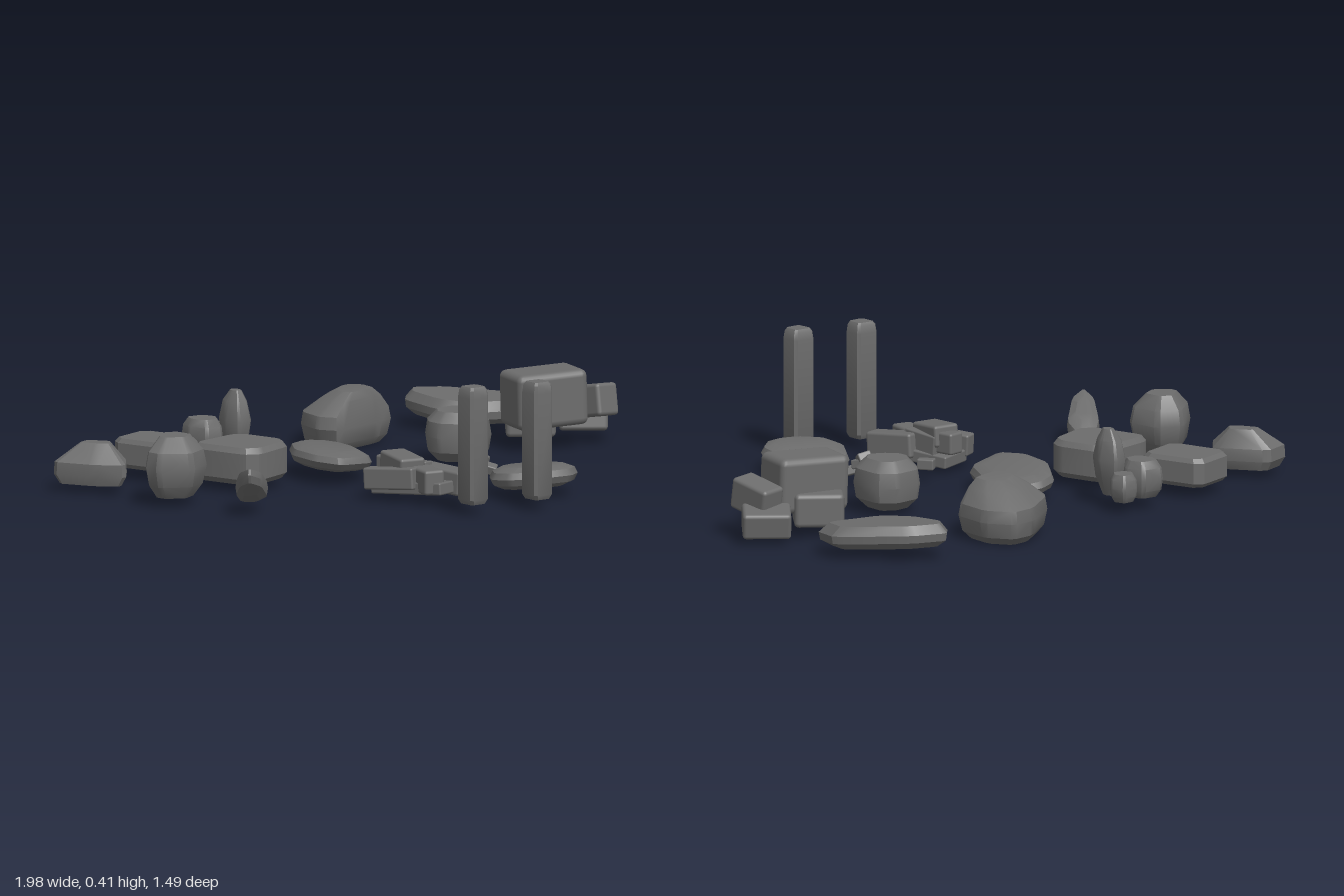
import * as THREE from 'three';
import { ConvexGeometry } from 'three/addons/geometries/ConvexGeometry.js';
import { RoundedBoxGeometry } from 'three/addons/geometries/RoundedBoxGeometry.js';
import { toCreasedNormals } from 'three/addons/utils/BufferGeometryUtils.js';

const stone = new THREE.MeshStandardMaterial({ color: 0x6c6c6c });

// Worn stone: a plan outline [x, z] stacked at levels [y, scale, dx, dz], then sloped along x and z
function rock(name, outline, levels, slopeX = 0, slopeZ = 0) {
  const n = outline.length;
  const cx = outline.reduce((s, p) => s + p[0], 0) / n;
  const cz = outline.reduce((s, p) => s + p[1], 0) / n;
  // cut every corner of the outline once so the edges are softened
  const soft = [];
  outline.forEach((p, i) => {
    const q = outline[(i + 1) % n];
    for (const t of [0.12, 0.88]) soft.push([p[0] + (q[0] - p[0]) * t, p[1] + (q[1] - p[1]) * t]);
  });
  const points = [];
  for (const [y, s, dx = 0, dz = 0] of levels) {
    for (const [px, pz] of soft) {
      const x = (px - cx) * s + dx, z = (pz - cz) * s + dz;
      points.push(new THREE.Vector3(x, y + x * slopeX + z * slopeZ, z));
    }
  }
  const mesh = new THREE.Mesh(toCreasedNormals(new ConvexGeometry(points), 0.5), stone);
  mesh.name = name;
  mesh.position.set(cx, 0, cz);
  return mesh;
}

// Rounded level stack between two heights
const worn = (y0, y1, end = 0.7) => {
  const h = y1 - y0;
  return [[y0, end], [y0 + h * 0.2, 0.93], [y0 + h * 0.5, 1], [y1 - h * 0.2, 0.93], [y1, end]];
};

// Flat-topped stack with a narrow bevel
const blocky = (y0, y1) => {
  const b = (y1 - y0) * 0.15;
  return [[y0, 0.88], [y0 + b, 1], [y1 - b, 1], [y1, 0.9]];
};

// Block with softened edges
function block(name, [x, y, z], [w, h, d], [rx, ry, rz] = [0, 0, 0]) {
  const r = Math.min(w, h, d) * 0.14;
  const mesh = new THREE.Mesh(new RoundedBoxGeometry(w, h, d, 2, r), stone);
  mesh.name = name;
  mesh.position.set(x, y, z);
  mesh.rotation.set(rx, ry, rz);
  return mesh;
}

function cluster(name, ...parts) {
  const g = new THREE.Group();
  g.name = name;
  g.add(...parts);
  return g;
}

export function createModel() {
  const model = new THREE.Group();
  model.name = 'rockCollection';

  // Boulders on the right side
  model.add(
    rock('wedgeBoulder', [[-1, -0.5], [-0.89, -0.54], [-0.78, -0.39], [-0.855, -0.3], [-0.93, -0.37]],
      [[0.03, 0.85], [0.06, 1], [0.1, 0.98], [0.16, 0.4, 0.02, -0.01]]),
    rock('facetedBoulder', [[-0.93, -0.11], [-0.82, -0.2], [-0.74, -0.165], [-0.725, -0.04], [-0.83, 0.015], [-0.925, -0.05]],
      [[0.03, 0.6], [0.07, 0.88], [0.13, 1], [0.18, 0.9], [0.225, 0.5, 0.01, -0.01]]),
    rock('shard', [[-0.76, 0.14], [-0.695, 0.085], [-0.655, 0.12], [-0.67, 0.2], [-0.76, 0.28], [-0.82, 0.29], [-0.815, 0.23]],
      worn(0.055, 0.13, 0.5), -0.3, 0.35),
    rock('squareSlab', [[-0.705, -0.567], [-0.535, -0.62], [-0.465, -0.405], [-0.64, -0.35]],
      blocky(0.04, 0.135)),
    rock('squareBoulder', [[-0.605, -0.27], [-0.58, -0.29], [-0.41, -0.325], [-0.37, -0.3], [-0.33, -0.16], [-0.35, -0.11], [-0.5, -0.055], [-0.55, -0.08]],
      blocky(0.03, 0.15)),
    rock('flatBoulder', [[-0.28, -0.06], [-0.26, -0.2], [-0.17, -0.33], [-0.1, -0.355], [-0.03, -0.34], [0, -0.27], [-0.01, -0.16], [-0.08, -0.01], [-0.24, 0.03]],
      worn(0.035, 0.1), -0.1),
  );

  // Boulders on the left side
  model.add(
    rock('roundBoulder', [[0.215, -0.11], [0.26, -0.175], [0.36, -0.185], [0.415, -0.14], [0.41, -0.02], [0.345, 0.04], [0.27, 0.01], [0.215, -0.05]],
      worn(0.02, 0.18, 0.62)),
    rock('ridgedBoulder', [[0.08, -0.5], [0.1, -0.62], [0.26, -0.735], [0.35, -0.745], [0.41, -0.66], [0.4, -0.52], [0.33, -0.49], [0.12, -0.44]],
      [[0.005, 0.75], [0.03, 0.92], [0.08, 1], [0.12, 0.95], [0.165, 0.65, 0, 0.03], [0.19, 0.4, 0, 0.05]]),
    rock('pointedSlab', [[0.585, -0.69], [0.63, -0.74], [0.735, -0.69], [0.9, -0.5], [0.865, -0.375], [0.65, -0.435], [0.59, -0.55]],
      [[0.04, 0.82], [0.06, 0.98], [0.085, 1], [0.115, 0.86]], 0, -0.06),
    rock('pebbleSlab', [[0.03, 0.46], [0.09, 0.37], [0.16, 0.35], [0.25, 0.39], [0.3, 0.49], [0.295, 0.57], [0.23, 0.62], [0.13, 0.6], [0.04, 0.53]],
      worn(0.03, 0.1), 0, 0.1),
  );

  // Three stones leaning together
  model.add(cluster('stoneTrio',
    rock('roundStone', [[-0.4, -0.56], [-0.38, -0.62], [-0.3, -0.615], [-0.275, -0.55], [-0.31, -0.49], [-0.375, -0.49]],
      worn(0.04, 0.16)),
    rock('smallStone', [[-0.295, -0.58], [-0.27, -0.62], [-0.215, -0.62], [-0.2, -0.57], [-0.23, -0.53], [-0.28, -0.54]],
      worn(0.04, 0.13)),
    rock('uprightStone', [[-0.32, -0.47], [-0.3, -0.53], [-0.25, -0.54], [-0.225, -0.48], [-0.25, -0.42], [-0.3, -0.42]],
      [[0.04, 0.4], [0.1, 0.85], [0.16, 1], [0.22, 0.75], [0.255, 0.35, 0, 0.005]]),
  ));

  // Pile of blocks around a large cuboid
  model.add(cluster('blockPile',
    block('largeBlock', [0.703, 0.17, -0.125], [0.245, 0.18, 0.165], [0, -0.23, 0.03]),
    block('rearBlock', [0.7, 0.095, -0.19], [0.16, 0.11, 0.14], [0, -0.65, 0]),
    block('leaningBlock', [0.885, 0.14, -0.105], [0.09, 0.105, 0.15], [-0.2, 0.1, -0.05]),
    block('fallenBlock', [0.9, 0.075, -0.17], [0.155, 0.085, 0.11], [-0.25, -0.65, -0.15]),
  ));

  // Heap of small bricks: position, size, turn about y
  const bricks = [
    [[-0.18, 0.05, 0.34], [0.13, 0.04, 0.27], 0.3],
    [[-0.19, 0.1, 0.225], [0.06, 0.07, 0.09], 0.15],
    [[-0.2, 0.115, 0.29], [0.09, 0.07, 0.14], -0.15],
    [[-0.26, 0.08, 0.31], [0.05, 0.07, 0.18], 0.4],
    [[-0.19, 0.08, 0.4], [0.07, 0.08, 0.13], -0.2],
    [[-0.115, 0.075, 0.395], [0.07, 0.08, 0.17], 0.28],
    [[-0.155, 0.09, 0.3], [0.035, 0.07, 0.13], 0.1],
  ];
  model.add(cluster('brickHeap',
    ...bricks.map(([p, s, turn], i) => block('brick' + (i + 1), p, s, [0.08 * (i % 3 - 1), turn, 0]))));

  // Tiny chips
  model.add(block('chip', [-0.05, 0.06, 0.16], [0.035, 0.035, 0.055], [0, 0.6, 0]));
  const chips = [[0.15, 0.05, 0.21], [0.165, 0.08, 0.235], [0.175, 0.055, 0.265], [0.155, 0.1, 0.225]];
  model.add(cluster('chipHeap',
    ...chips.map((p, i) => block('chip' + (i + 1), p, [0.035, 0.03, 0.045], [0.2 * i, 0.4 * i, 0]))));

  // Standing pillars with slightly tapered ends
  const pillar = (name, x, z, w) => rock(name,
    [[x - w, z - w], [x + w, z - w * 0.8], [x + w, z + w], [x - w * 0.9, z + w]],
    [[0.04, 0.8], [0.055, 1], [0.385, 1], [0.41, 0.92], [0.42, 0.75]]);
  model.add(pillar('rightPillar', -0.195, 0.647, 0.038), pillar('leftPillar', 0.02, 0.705, 0.038));

  return model;
}
